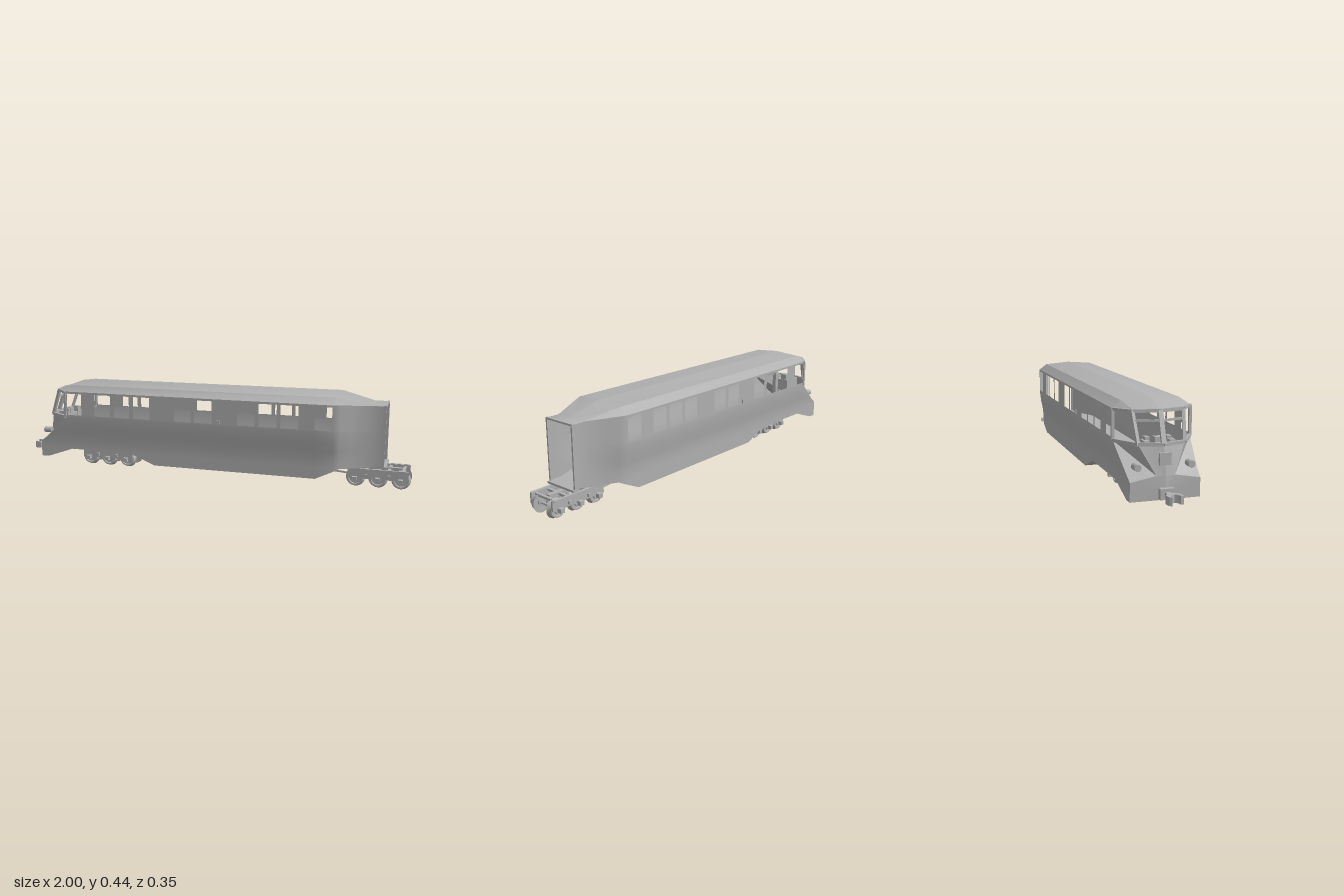
import * as THREE from 'three';
import { toCreasedNormals } from 'three/addons/utils/BufferGeometryUtils.js';

const grey = new THREE.MeshStandardMaterial({ color: 0xb0b0b0, side: THREE.DoubleSide });
grey.name = 'body grey';

const lerp = THREE.MathUtils.lerp;
// piecewise linear function through [x, value] points
function along(points, x) {
  if (x <= points[0][0]) return points[0][1];
  for (let i = 1; i < points.length; i++) {
    const [x0, v0] = points[i - 1], [x1, v1] = points[i];
    if (x <= x1) return lerp(v0, v1, (x - x0) / (x1 - x0));
  }
  return points[points.length - 1][1];
}

const BOTTOM = [[-0.88, 0.05], [-0.84, 0.05], [-0.7, 0.098], [-0.37, 0.098], [-0.24, 0.045],
  [0.57, 0.045], [0.68, 0.098], [0.81, 0.1], [0.875, 0.112]];
const TOP = [[-0.88, 0.13], [-0.84, 0.16], [-0.72, 0.27], [-0.7199, 0.4], [0.65, 0.4], [0.81, 0.393]];
const WIDTH = [[0.14, 0.15], [0.18, 0.156], [0.22, 0.164], [0.27, 0.17]];
const WINDOWS = [[-0.71, -0.63], [-0.555, -0.468], [-0.447, -0.365], [-0.342, -0.255], [-0.125, -0.04],
  [-0.02, 0.067], [0.195, 0.28], [0.3, 0.387], [0.405, 0.49], [0.565, 0.645]];
const taper = x => THREE.MathUtils.clamp((x - 0.65) / 0.16, 0, 1);
const halfWidth = (x, y) => lerp(along(WIDTH, y), 0.082, taper(x));

function add(parent, name, geometry, x = 0, y = 0, z = 0) {
  const mesh = new THREE.Mesh(geometry, grey);
  mesh.name = name;
  mesh.position.set(x, y, z);
  parent.add(mesh);
  return mesh;
}
const box = (parent, name, w, h, d, x, y, z) => add(parent, name, new THREE.BoxGeometry(w, h, d), x, y, z);

// mesh from planar polygons, each a list of points
function panels(parent, name, polygons) {
  const data = [];
  for (const p of polygons)
    for (let i = 1; i < p.length - 1; i++) data.push(...p[0], ...p[i], ...p[i + 1]);
  const geometry = new THREE.BufferGeometry();
  geometry.setAttribute('position', new THREE.Float32BufferAttribute(data, 3));
  return add(parent, name, toCreasedNormals(geometry, 0.55));
}
// quads between neighbouring rows of points
function loft(rows, keep = () => true) {
  const quads = [];
  for (let r = 0; r < rows.length - 1; r++)
    for (let c = 0; c < rows[r].length - 1; c++)
      if (keep(r, c)) quads.push([rows[r][c], rows[r][c + 1], rows[r + 1][c + 1], rows[r + 1][c]]);
  return quads;
}
// square bar between two points
function bar(parent, name, a, b, w = 0.012, d = w) {
  const from = new THREE.Vector3(...a), to = new THREE.Vector3(...b);
  const mesh = add(parent, name, new THREE.BoxGeometry(w, d, from.distanceTo(to)));
  mesh.position.copy(from).lerp(to, 0.5);
  mesh.lookAt(to);
  return mesh;
}

function buildBody(body) {
  const xs = [...new Set([...WINDOWS.flat(), ...BOTTOM.map(p => p[0]), -0.72, 0.65, 0.73])].sort((a, b) => a - b);
  const ys = [0, 0.1, 0.14, 0.18, 0.22, 0.27, 0.28, 0.39, 0.4];
  const solid = (r, c) => {
    const x = (xs[c] + xs[c + 1]) / 2;
    if (x < -0.72) return ys[r] < 0.27;
    return ys[r] !== 0.28 || !WINDOWS.some(w => x > w[0] && x < w[1]);
  };
  for (const s of [1, -1]) {
    // side wall with window openings
    const rows = ys.map(y0 => xs.map(x => {
      const y = Math.min(Math.max(y0, along(BOTTOM, x)), x <= -0.72 && y0 > 0.27 ? 0.4 : along(TOP, x));
      return [x, y, s * halfWidth(x, y)];
    }));
    // the wall ends at the cab pillar above the waist
    const pillar = xs.indexOf(-0.72);
    rows.forEach((row, i) => { if (ys[i] > 0.27) row[pillar] = [-0.72, ys[i], s * 0.17]; });
    panels(body, 'sideWall', loft(rows, solid));

    // roof half with sloping ends
    const eave = x => [x, along(TOP, x), s * halfWidth(x, 0.4)];
    const section = x => {
      const t = taper(x);
      return [eave(x), [x, lerp(0.43, 0.394, t), s * lerp(0.13, 0.08, t)], [x, lerp(0.44, 0.396, t), 0]];
    };
    const start = [[-0.72, 0.4, s * 0.17], [-0.7, 0.43, s * 0.13], [-0.7, 0.44, 0]];
    const brow = [[-0.785, 0.4, s * 0.11], [-0.787, 0.402, s * 0.108], [-0.81, 0.402, 0]];
    panels(body, 'roof', loft([brow, start, section(0.65), section(0.81), section(0.875)]));

    // nose shoulder, centre panel and apron
    const A = [-0.72, 0.27, s * 0.17], B = [-0.83, 0.27, s * 0.1], N = [-0.88, 0.15, s * 0.04];
    const M = [-0.84, 0.16, s * along(WIDTH, 0.16)], F = [-0.88, 0.13, s * 0.15];
    panels(body, 'nose', [[A, B, N, M], [M, N, F], [B, [-0.855, 0.27, 0], [-0.885, 0.15, 0], N],
      [[-0.88, 0.05, 0], [-0.88, 0.05, s * 0.15], F, N, [-0.885, 0.15, 0]]]);

    // cab window frames
    const C = [-0.785, 0.398, s * 0.11], D = [-0.72, 0.398, s * 0.17];
    bar(body, 'cabPillar', B, C, 0.014);
    bar(body, 'cabPillar', A, D, 0.012);
    bar(body, 'quarterSill', A, B, 0.014);
    bar(body, 'quarterHead', C, D, 0.012);
    bar(body, 'windscreenSill', B, [-0.855, 0.27, 0], 0.014);
    bar(body, 'windscreenHead', C, [-0.81, 0.398, 0], 0.014);
    bar(body, 'windscreenTransom', [-0.8, 0.36, s * 0.105], [-0.823, 0.36, 0], 0.009);

    // lamps, door handle and gangway post
    const lamp = add(body, 'lamp', new THREE.CylinderGeometry(0.015, 0.015, 0.04, 16), -0.855, 0.185, s * 0.115);
    lamp.rotation.z = Math.PI / 2;
    box(body, 'doorHandle', 0.014, 0.02, 0.008, s > 0 ? 0.1 : -0.16, 0.29, s * 0.172);
    box(body, 'gangwayPost', 0.012, 0.285, 0.008, 0.872, 0.252, s * 0.08);
  }
  bar(body, 'windscreenMullion', [-0.855, 0.27, 0], [-0.81, 0.4, 0], 0.02, 0.014);
  box(body, 'noseHatch', 0.012, 0.05, 0.05, -0.872, 0.215, 0);
  box(body, 'gangwayLintel', 0.012, 0.008, 0.165, 0.872, 0.392, 0);
  box(body, 'gangwayStep', 0.03, 0.01, 0.17, 0.872, 0.105, 0);

  // underside and cabin floor
  const strip = (list, height) => loft([1, -1].map(s => list.map(x => [x, height(x), s * halfWidth(x, 0.1)])));
  panels(body, 'underside', strip(xs.filter(x => x >= -0.7), x => along(BOTTOM, x)));
  panels(body, 'floor', strip([-0.875, 0.65, 0.81, 0.87], () => 0.112));
}

function buildCab(cab) {
  box(cab, 'controlPanel', 0.04, 0.15, 0.085, -0.79, 0.185, 0);
  box(cab, 'panelPost', 0.01, 0.075, 0.02, -0.766, 0.15, 0);
  box(cab, 'panelShelf', 0.015, 0.02, 0.064, -0.764, 0.185, 0);
  box(cab, 'gauge', 0.03, 0.03, 0.036, -0.79, 0.275, 0);
  for (const s of [1, -1]) {
    box(cab, 'deskSide', 0.05, 0.165, 0.025, -0.79, 0.195, s * 0.055);
    box(cab, 'deskFoot', 0.06, 0.04, 0.03, -0.79, 0.132, s * 0.066);
    box(cab, 'lever', 0.03, 0.015, 0.02, -0.78, 0.283, s * 0.048);
  }
}

function buildBogie(bogie, axles) {
  const first = axles[0], last = axles[2], middle = (first + last) / 2;
  const y = 0.045;
  // side frame with a deeper pocket at each axle
  const outline = new THREE.Shape();
  outline.moveTo(first - 0.035, 0.092);
  outline.lineTo(first - 0.035, 0.045);
  for (const x of axles) {
    outline.lineTo(x - 0.025, 0.045);
    outline.lineTo(x - 0.014, 0.03);
    outline.lineTo(x + 0.014, 0.03);
    outline.lineTo(x + 0.025, 0.045);
  }
  outline.lineTo(last + 0.035, 0.045);
  outline.lineTo(last + 0.035, 0.092);
  const profile = [[0, -0.01], [0.014, -0.01], [0.014, -0.004], [0.03, -0.004], [0.03, -0.012],
    [0.045, -0.012], [0.041, -0.004], [0.037, 0.01], [0.03, 0.01], [0.028, 0.003], [0.014, 0.003], [0.012, 0.01], [0, 0.01]];
  const wheel = toCreasedNormals(new THREE.LatheGeometry(profile.map(p => new THREE.Vector2(...p)), 24), 0.6);
  for (const s of [1, -1]) {
    const frame = new THREE.ExtrudeGeometry(outline, { depth: 0.01, bevelEnabled: false });
    add(bogie, 'sideFrame', frame, 0, 0, s * 0.069 - 0.005);
    box(bogie, 'frameRail', last - first + 0.06, 0.006, 0.012, middle, 0.09, s * 0.074);
    for (const x of axles) {
      add(bogie, 'wheel', wheel, x, y, s * 0.055).rotation.x = s * Math.PI / 2;
      box(bogie, 'axleBox', 0.022, 0.02, 0.022, x, y, s * 0.084);
    }
    for (const x of [lerp(first, last, 0.25), lerp(first, last, 0.75)])
      box(bogie, 'springHanger', 0.014, 0.014, 0.012, x, 0.062, s * 0.078);
  }
  for (const x of axles)
    add(bogie, 'axle', new THREE.CylinderGeometry(0.006, 0.006, 0.17, 12), x, y, 0).rotation.x = Math.PI / 2;
  for (const x of [first + 0.05, middle + 0.05, last + 0.01])
    box(bogie, 'crossBeam', 0.014, 0.01, 0.14, x, 0.083, 0);
  box(bogie, 'centreBeam', last - first, 0.02, 0.02, middle, 0.082, 0);
}

function buildCoupler(coupler) {
  box(coupler, 'couplerMount', 0.025, 0.045, 0.06, -0.89, 0.078, 0);
  box(coupler, 'couplerShank', 0.06, 0.022, 0.022, -0.925, 0.076, 0);
  // claw drawn in plan, with its mouth facing outward
  const claw = new THREE.Shape();
  [[-0.94, -0.015], [-0.965, -0.034], [-0.995, -0.03], [-1, -0.02], [-0.972, -0.016], [-0.962, 0.004],
    [-0.972, 0.018], [-0.99, 0.02], [-0.99, 0.032], [-0.96, 0.032], [-0.94, 0.015]]
    .forEach(([x, z], i) => i ? claw.lineTo(x, z) : claw.moveTo(x, z));
  const geometry = new THREE.ExtrudeGeometry(claw, { depth: 0.034, bevelEnabled: false });
  add(coupler, 'couplerClaw', geometry, 0, 0.094, 0).rotation.x = Math.PI / 2;
}

export function createModel() {
  const model = new THREE.Group();
  model.name = 'railcar';
  const group = name => {
    const g = new THREE.Group();
    g.name = name;
    model.add(g);
    return g;
  };
  buildBody(group('body'));
  buildCab(group('cabInterior'));
  buildBogie(group('frontBogie'), [-0.64, -0.535, -0.43]);
  buildBogie(group('rearBogie'), [0.745, 0.85, 0.955]);
  buildCoupler(group('coupler'));
  // sloping bogie struts
  const struts = group('struts');
  for (const s of [1, -1]) {
    bar(struts, 'strut', [-0.41, 0.07, s * 0.06], [-0.27, 0.062, s * 0.06], 0.008);
    bar(struts, 'strut', [0.72, 0.065, s * 0.06], [0.59, 0.075, s * 0.06], 0.008);
  }
  return model;
}
